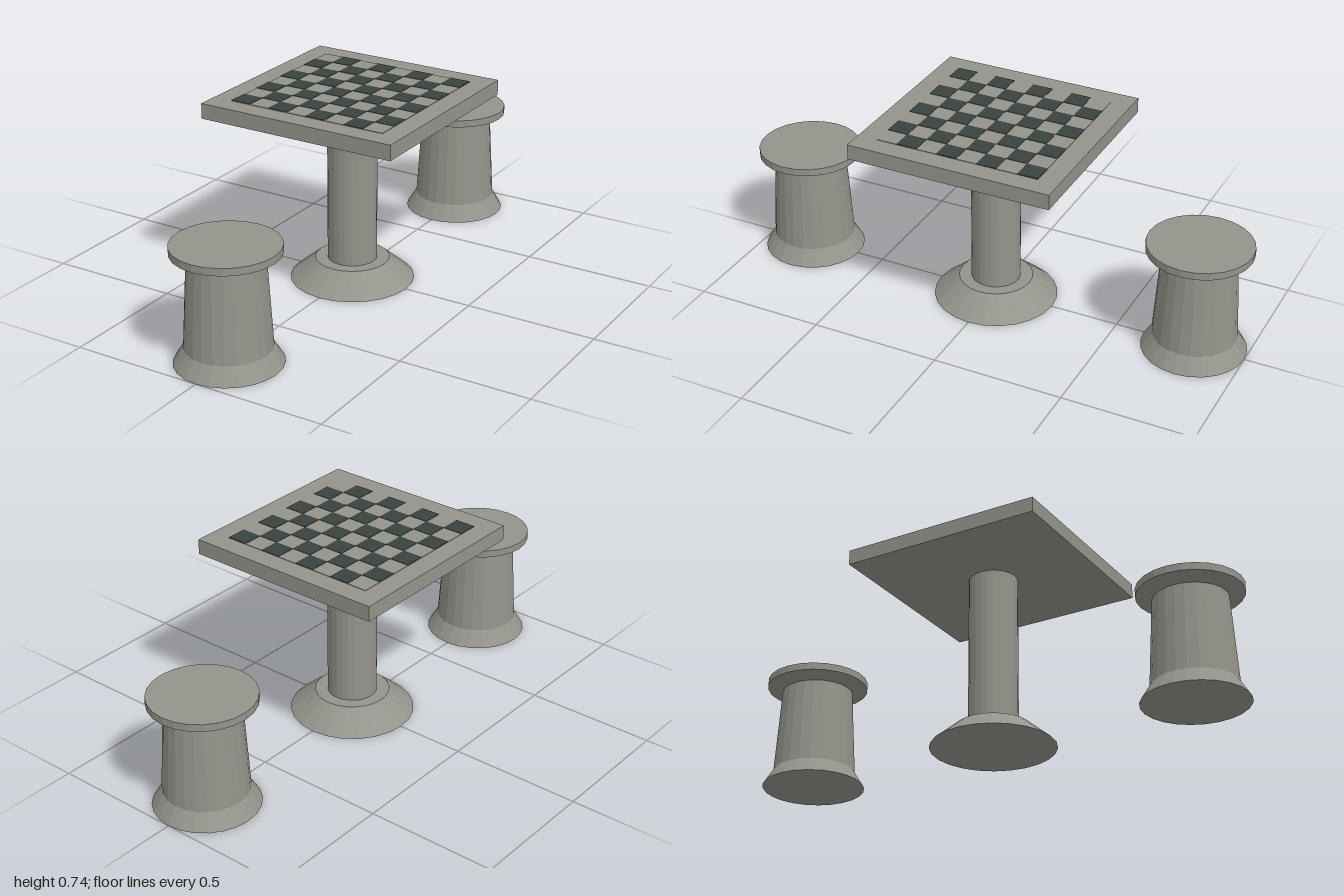
import * as THREE from 'three';

const concrete = new THREE.MeshStandardMaterial({ color: 0x94948c, flatShading: true });
concrete.name = 'concrete';
const darkTile = new THREE.MeshStandardMaterial({ color: 0x3a4341, flatShading: true });
darkTile.name = 'dark tile';

function add(parent, name, geometry, material, x = 0, y = 0, z = 0) {
  const mesh = new THREE.Mesh(geometry, material);
  mesh.name = name;
  mesh.position.set(x, y, z);
  parent.add(mesh);
  return mesh;
}

// Turned solid from [radius, height] pairs, bottom to top
function turned(profile, sides = 24) {
  return new THREE.LatheGeometry(profile.map(([r, y]) => new THREE.Vector2(r, y)), sides);
}

function createTable() {
  const table = new THREE.Group();
  table.name = 'table';

  // Flared foot and round column
  add(table, 'tableBase', turned([[0, 0], [0.235, 0], [0.14, 0.08], [0, 0.08]]), concrete);
  add(table, 'tableColumn', new THREE.CylinderGeometry(0.093, 0.093, 0.6, 24, 1, true), concrete, 0, 0.38, 0);

  // Square slab
  add(table, 'tableTop', new THREE.BoxGeometry(0.785, 0.058, 0.785), concrete, 0, 0.709, 0);

  // Inlaid board: a light plate with dark squares on it
  const cell = 0.0786;
  add(table, 'boardPlate', new THREE.BoxGeometry(cell * 8, 0.002, cell * 8), concrete, 0, 0.739, 0);
  const board = new THREE.Group();
  board.name = 'darkSquares';
  const square = new THREE.BoxGeometry(cell, 0.003, cell);
  for (let row = 0; row < 8; row++) {
    for (let col = 0; col < 8; col++) {
      if ((row + col) % 2 === 0) continue;
      add(board, 'darkSquare', square, darkTile, (col - 3.5) * cell, 0.7401, (row - 3.5) * cell);
    }
  }
  table.add(board);
  return table;
}

function createStool(name, z) {
  const stool = new THREE.Group();
  stool.name = name;
  stool.position.z = z;
  // Flared foot with tapering body
  add(stool, 'stoolBody', turned([[0, 0], [0.195, 0], [0.157, 0.062], [0.137, 0.394]]), concrete);
  // Seat with bevelled underside
  add(stool, 'seat', turned([[0.137, 0.394], [0.195, 0.413], [0.195, 0.441], [0, 0.441]]), concrete);
  return stool;
}

export function createModel() {
  const model = new THREE.Group();
  model.name = 'game table with stools';
  model.add(createTable(), createStool('frontStool', 0.805), createStool('backStool', -0.805));
  return model;
}
